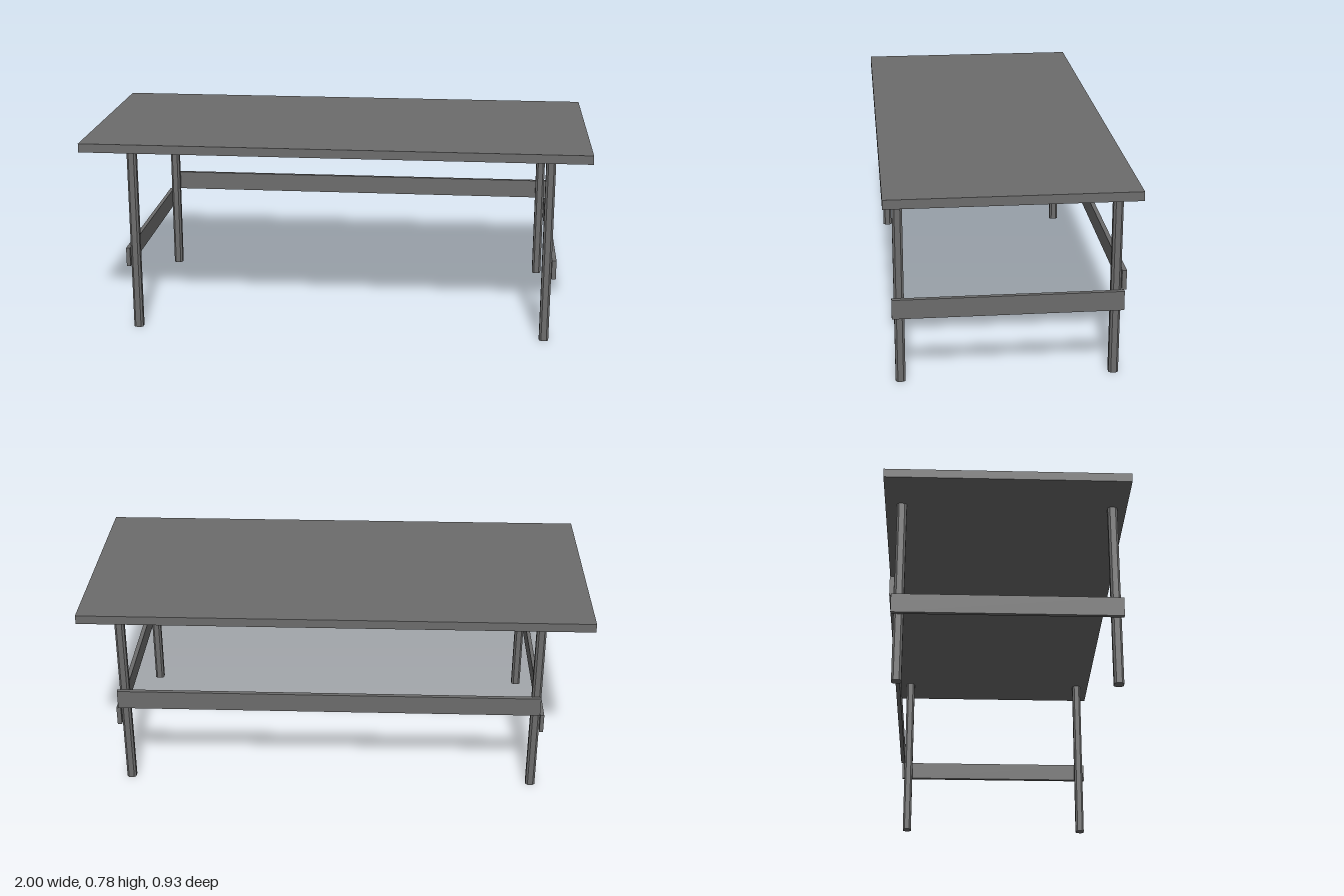
import * as THREE from 'three';

const material = new THREE.MeshStandardMaterial({ color: 0x6c6c6c, flatShading: true });

// Box given by its extents on each axis
function board(name, [x0, x1], [y0, y1], [z0, z1]) {
  const mesh = new THREE.Mesh(new THREE.BoxGeometry(x1 - x0, y1 - y0, z1 - z0), material);
  mesh.position.set((x0 + x1) / 2, (y0 + y1) / 2, (z0 + z1) / 2);
  mesh.name = name;
  return mesh;
}

// Square post with chamfered corners, extruded upwards
function legGeometry(half, chamfer, height) {
  const a = half, b = half - chamfer;
  const outline = [[a, -b], [a, b], [b, a], [-b, a], [-a, b], [-a, -b], [-b, -a], [b, -a]];
  const shape = new THREE.Shape(outline.map(([x, y]) => new THREE.Vector2(x, y)));
  return new THREE.ExtrudeGeometry(shape, { depth: height, bevelEnabled: false }).rotateX(-Math.PI / 2);
}

export function createModel() {
  const table = new THREE.Group();
  table.name = 'table';

  table.add(board('tableTop', [-1, 1], [0.742, 0.777], [-0.463, 0.463]));

  // Four legs
  const geometry = legGeometry(0.0185, 0.008, 0.742);
  for (const [side, x] of [['right', -0.8], ['left', 0.843]]) {
    for (const [end, z] of [['Front', 0.408], ['Back', -0.399]]) {
      const leg = new THREE.Mesh(geometry, material);
      leg.position.set(x, 0, z);
      leg.name = side + end + 'Leg';
      table.add(leg);
    }
  }

  // Stretchers fixed to the outer faces of the legs
  table.add(board('rightStretcher', [-0.834, -0.8185], [0.266, 0.342], [-0.428, 0.436]));
  table.add(board('leftStretcher', [0.8615, 0.879], [0.266, 0.342], [-0.428, 0.436]));
  table.add(board('backStretcher', [-0.816, 0.87], [0.346, 0.423], [-0.435, -0.4175]));

  return table;
}
